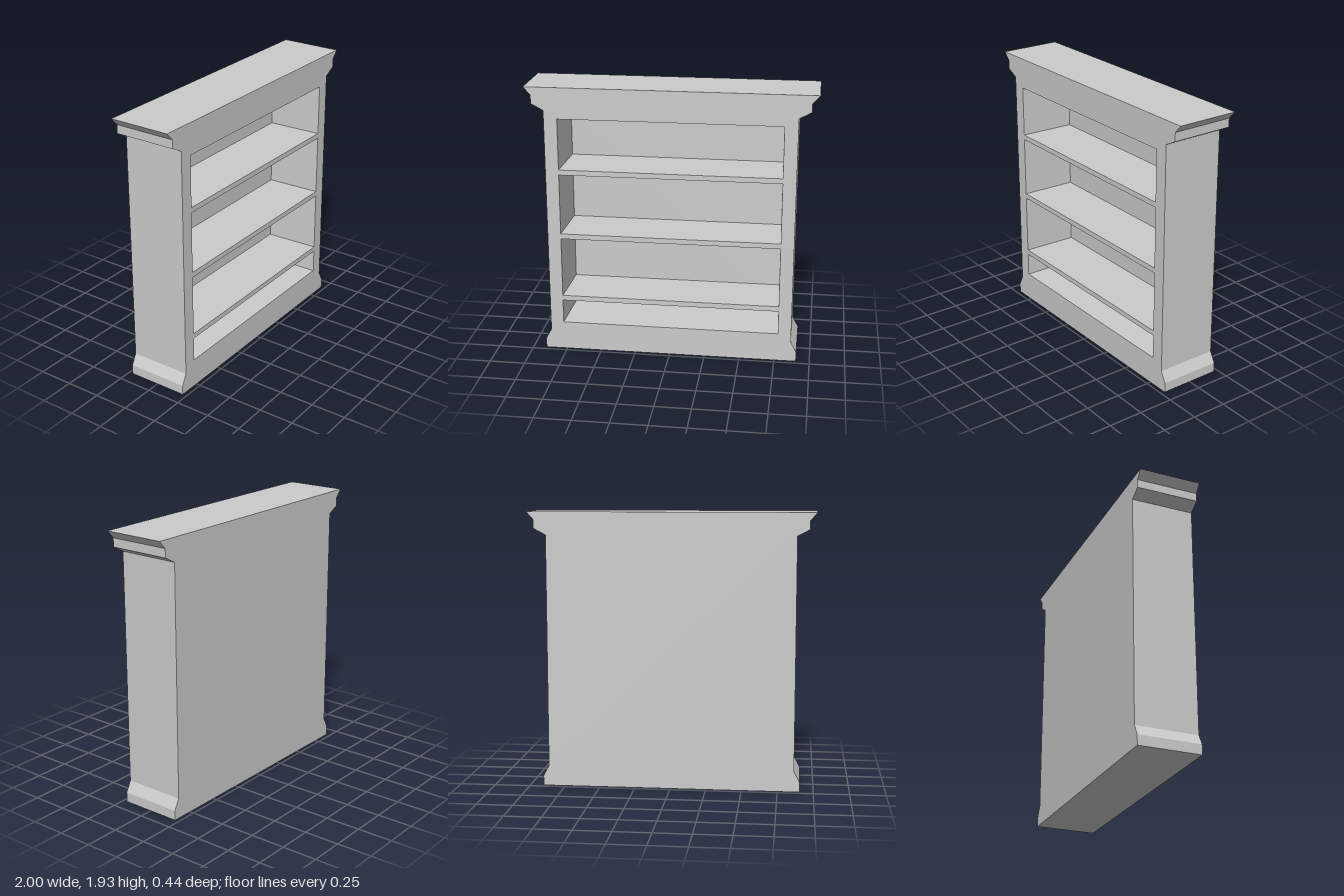
import * as THREE from 'three';

const HALF_DEPTH = 0.22;
const BACK_THICKNESS = 0.045;
const CAVITY_DEPTH = 2 * HALF_DEPTH - BACK_THICKNESS;
const OPENING = { x: 0.772, bottom: 0.207, top: 1.717 };

// Right half of the silhouette: plinth, side, stepped cornice
const PROFILE = [
  [0.905, 0], [0.905, 0.07], [0.865, 0.145], [0.865, 1.775],
  [0.95, 1.82], [0.95, 1.88], [1, 1.935],
];

function outline() {
  const right = PROFILE.map(([x, y]) => new THREE.Vector2(x, y));
  const left = PROFILE.map(([x, y]) => new THREE.Vector2(-x, y)).reverse();
  return new THREE.Shape([...right, ...left]);
}

function extrude(shape, depth) {
  return new THREE.ExtrudeGeometry(shape, { depth, bevelEnabled: false });
}

export function createModel() {
  const group = new THREE.Group();
  const material = new THREE.MeshStandardMaterial({ color: 0xcccccc, flatShading: true });

  function add(name, geometry, y, z) {
    const mesh = new THREE.Mesh(geometry, material);
    mesh.name = name;
    mesh.position.set(0, y, z);
    group.add(mesh);
  }

  // Carcass with a rectangular opening
  const shape = outline();
  const { x, bottom, top } = OPENING;
  shape.holes.push(new THREE.Path([
    new THREE.Vector2(-x, bottom), new THREE.Vector2(-x, top),
    new THREE.Vector2(x, top), new THREE.Vector2(x, bottom),
  ]));
  const carcass = extrude(shape, CAVITY_DEPTH);

  // Narrow the opening slightly towards the back
  const p = carcass.attributes.position;
  for (let i = 0; i < p.count; i++) {
    if (p.getZ(i) > 0.01 || Math.abs(p.getX(i)) > 0.8) continue;
    p.setX(i, p.getX(i) - Math.sign(p.getX(i)) * 0.014);
    p.setY(i, p.getY(i) + (p.getY(i) > 1 ? -0.012 : 0.006));
  }
  carcass.computeVertexNormals();
  add('carcass', carcass, 0, -HALF_DEPTH + BACK_THICKNESS);

  // Solid back following the same silhouette
  add('backPanel', extrude(outline(), BACK_THICKNESS), 0, -HALF_DEPTH);

  // Shelves flush with the front
  [0.397, 0.867, 1.337].forEach((y, i) => {
    add(`shelf${i + 1}`, new THREE.BoxGeometry(2 * x, 0.037, CAVITY_DEPTH), y, BACK_THICKNESS / 2);
  });

  return group;
}
